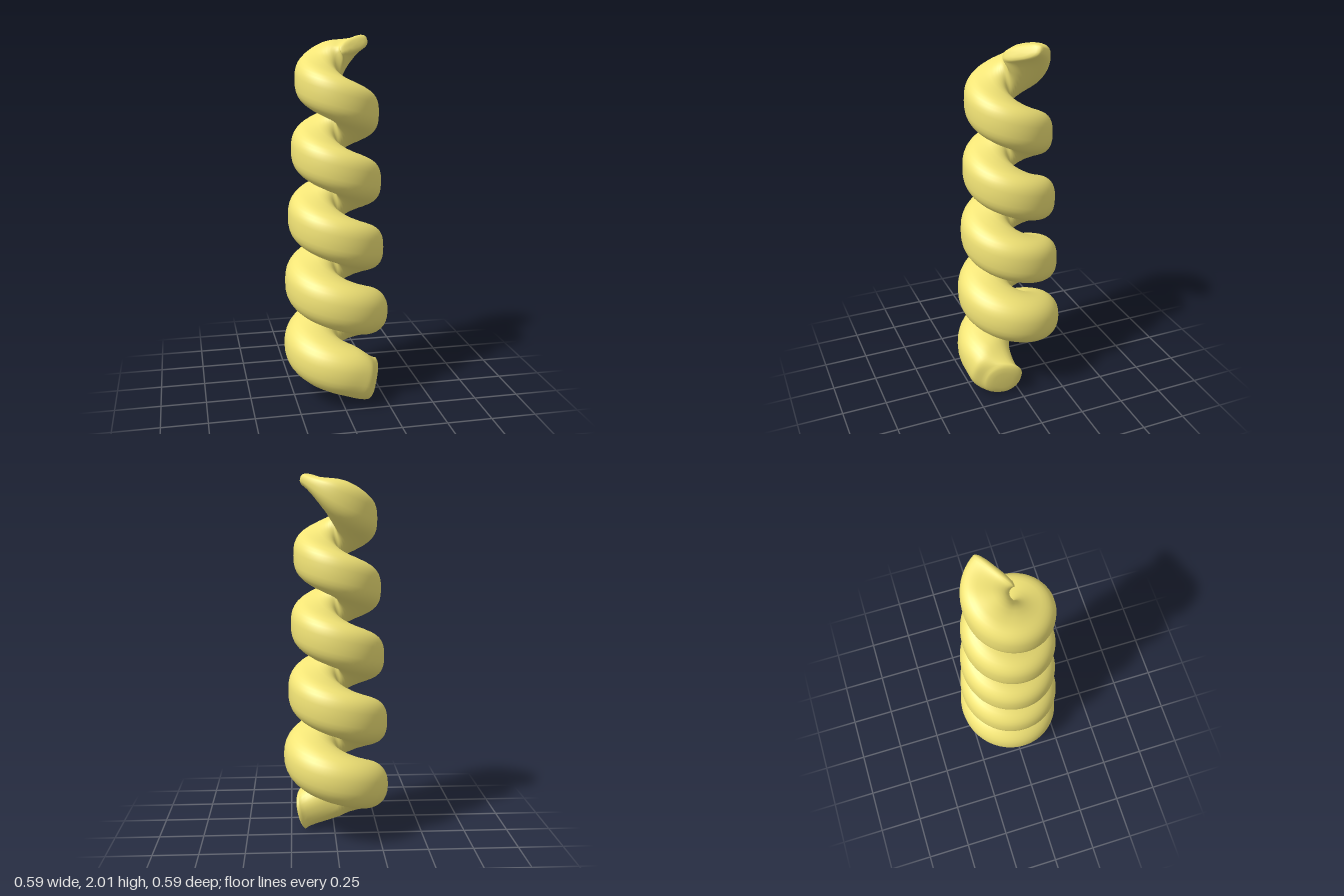
import * as THREE from 'three';

const SIDES = 32, STEPS = 400;
const START = Math.PI / 6, END = 10 * Math.PI - 0.35; // about five turns
const PITCH = 0.37, SLOPE = 0.4;

const mix = THREE.MathUtils.lerp;
const smooth = THREE.MathUtils.smoothstep;
const power = (v, p) => Math.sign(v) * Math.abs(v) ** p;

// Outer radius of the coil, narrowing toward the top
const outer = [[0, 0.297], [0.5, 0.294], [0.85, 0.269], [1.2, 0.252], [1.6, 0.23], [1.95, 0.215]];
function outerRadius(y) {
  for (let i = 1; i < outer.length; i++) {
    const [y0, r0] = outer[i - 1], [y1, r1] = outer[i];
    if (y <= y1) return mix(r0, r1, Math.max(0, (y - y0) / (y1 - y0)));
  }
  return outer[outer.length - 1][1];
}

// One rounded cross-section at angle a, scaled and shifted along the path for the end caps
function ring(a, scale = 1, shift = 0) {
  const y = 0.112 + PITCH * a / (2 * Math.PI);
  const R = outerRadius(y);
  const foot = (1 - smooth(a, START, START + 1)) ** 1.5; // splayed lower end
  const lift = smooth(a, END - 2.3, END - 0.8);
  const tip = smooth(a, END - 2.2, END) ** 2;            // pinched upper end
  const rc = mix(R / 2 - 0.002, 0.213, foot);
  const w = mix(R / 2 + 0.002, 0.107, foot);
  const h = mix(mix(0.035 + 0.35 * R, 0.112, foot), 0.042, tip);
  const p = mix(0.86, 0.75, smooth(a, 6, 11));           // squarer higher up
  const b = mix(a, 1.7, foot) - 0.3 * tip;
  const slope = mix(SLOPE, 0.25, foot);
  const bow = 0.01 * Math.sin(Math.PI * y / 2);          // slight bend of the axis

  const e = new THREE.Vector3(Math.cos(b), 0, Math.sin(b));
  const n = new THREE.Vector3(Math.sin(b) * Math.sin(slope), Math.cos(slope), -Math.cos(b) * Math.sin(slope));
  const t = e.clone().cross(n);
  const c = new THREE.Vector3(rc * Math.cos(a) - bow, y + 0.02 * lift - 0.03 * foot, rc * Math.sin(a) - bow);
  c.addScaledVector(t, shift);
  e.y += 0.25 * tip + 0.2 * foot; // both ends roll, outer edge up
  n.z -= 0.25 * foot;
  const points = [];
  for (let j = 0; j < SIDES; j++) {
    const u = j / SIDES * Math.PI * 2;
    points.push(c.clone()
      .addScaledVector(e, w * scale * power(Math.cos(u), p))
      .addScaledVector(n, h * scale * power(Math.sin(u), p)));
  }
  return points;
}

function coilGeometry() {
  const cap = [[0, 0.018], [0.5, 0.018], [0.8, 0.014], [0.93, 0.007]];
  const rings = cap.map(([s, d]) => ring(START, s, -d));
  for (let i = 0; i <= STEPS; i++) rings.push(ring(mix(START, END, i / STEPS)));
  cap.slice().reverse().forEach(([s, d]) => rings.push(ring(END, s, d)));

  const index = [];
  for (let i = 0; i < rings.length - 1; i++) {
    for (let j = 0; j < SIDES; j++) {
      const p = i * SIDES + j, q = i * SIDES + (j + 1) % SIDES;
      index.push(p, q, p + SIDES, q, q + SIDES, p + SIDES);
    }
  }
  const geometry = new THREE.BufferGeometry().setFromPoints(rings.flat());
  geometry.setIndex(index);
  geometry.computeVertexNormals();

  // Stand on the ground
  geometry.computeBoundingBox();
  geometry.translate(0, -geometry.boundingBox.min.y, 0);
  return geometry;
}

export function createModel() {
  const group = new THREE.Group();
  group.name = 'spiral';
  const coil = new THREE.Mesh(coilGeometry(), new THREE.MeshStandardMaterial({ color: 0xf2e476 }));
  coil.name = 'coil';
  group.add(coil);
  return group;
}
